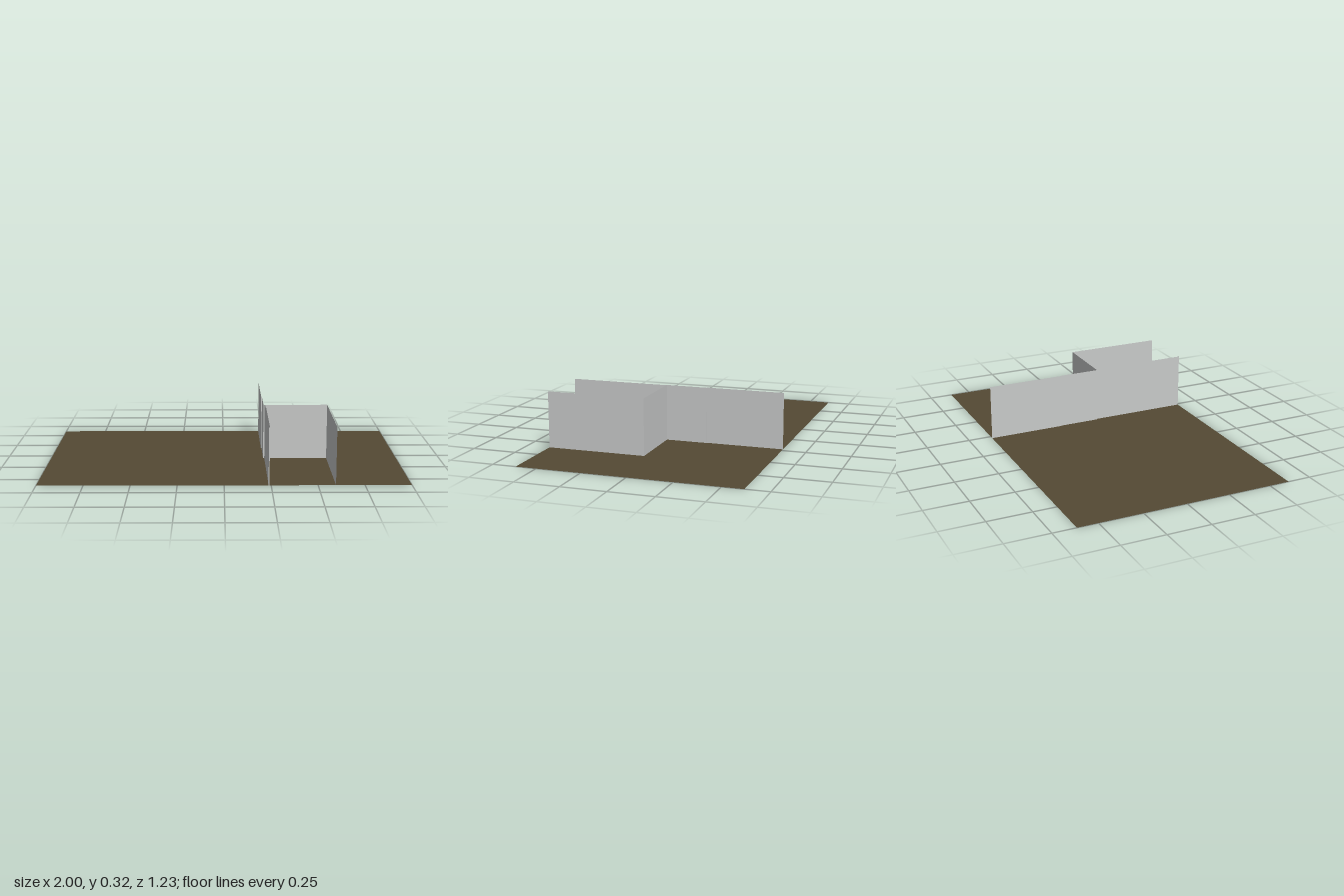
import * as THREE from 'three';

const HEIGHT = 0.317;

export function createModel() {
  const model = new THREE.Group();
  model.name = 'floorWithPartitions';

  const ground = new THREE.MeshStandardMaterial({ color: 0x544a34, side: THREE.DoubleSide });
  ground.name = 'brown floor';
  const plaster = new THREE.MeshStandardMaterial({ color: 0xc8cac9, side: THREE.DoubleSide });
  plaster.name = 'pale grey wall';

  // Flat floor sheet
  const floor = new THREE.Mesh(new THREE.PlaneGeometry(2, 1.234).rotateX(-Math.PI / 2), ground);
  floor.name = 'floor';
  model.add(floor);

  // Upright sheet between two floor points
  function addWall(name, [x0, z0], [x1, z1]) {
    const dx = x1 - x0, dz = z1 - z0;
    const wall = new THREE.Mesh(new THREE.PlaneGeometry(Math.hypot(dx, dz), HEIGHT), plaster);
    wall.name = name;
    wall.position.set((x0 + x1) / 2, HEIGHT / 2, (z0 + z1) / 2);
    wall.rotation.y = Math.atan2(-dz, dx);
    model.add(wall);
  }

  // Long dividing wall, with small steps along its length
  addWall('backWall', [0.225, -0.617], [0.225, -0.178]);
  addWall('backStep', [0.225, -0.178], [0.229, -0.178]);
  addWall('middleWall', [0.229, -0.178], [0.229, 0.058]);

  // Room at the front: cross wall, doubled inner wall and outer wall
  addWall('crossWall', [0.229, 0.058], [0.595, 0.058]);
  addWall('innerWallRight', [0.236, 0.058], [0.236, 0.617]);
  addWall('innerWallLeft', [0.241, 0.058], [0.241, 0.617]);
  addWall('innerWallEnd', [0.236, 0.617], [0.241, 0.617]);
  addWall('outerWall', [0.595, 0.058], [0.595, 0.617]);

  return model;
}
